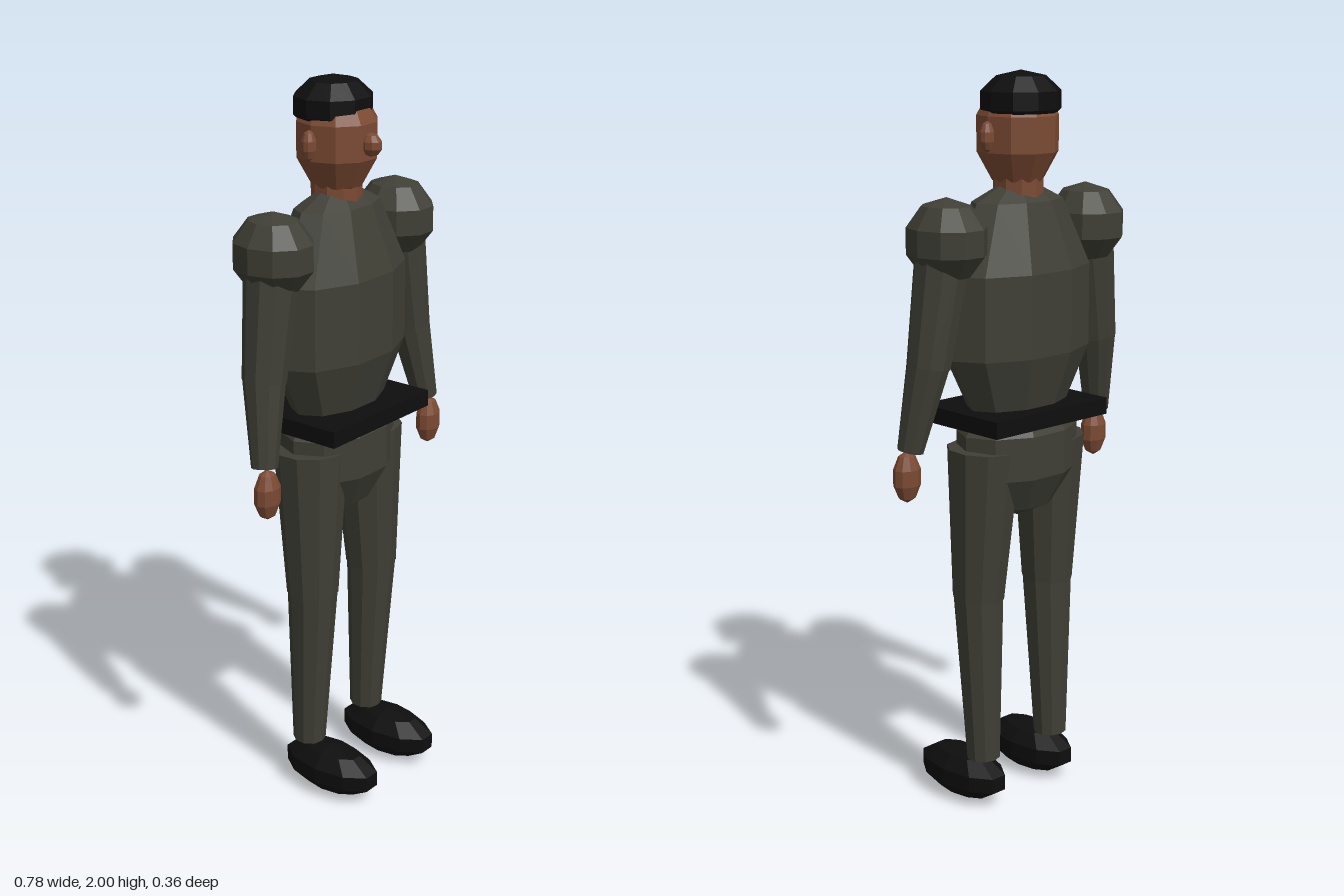
import * as THREE from 'three';

const flat = (name, color) => {
  const m = new THREE.MeshStandardMaterial({ color, flatShading: true });
  m.name = name;
  return m;
};

export function createModel() {
  const cloth = flat('dark olive cloth', 0x3f3f36);
  const skin = flat('brown skin', 0x7b4a33);
  const black = flat('black', 0x0e0e0f);

  const model = new THREE.Group();
  model.name = 'figure';

  const add = (name, geometry, material) => {
    const mesh = new THREE.Mesh(geometry, material);
    mesh.name = name;
    model.add(mesh);
    return mesh;
  };

  // Coarse ellipsoid given by its centre and radii
  const blob = (name, material, centre, radii) => {
    const mesh = add(name, new THREE.SphereGeometry(1, 10, 5), material);
    mesh.position.set(...centre);
    mesh.scale.set(...radii);
    return mesh;
  };

  // Tapered limb section running from point a (radius ra) to point b (radius rb)
  const limb = (name, material, a, ra, b, rb) => {
    const top = new THREE.Vector3(...a), bottom = new THREE.Vector3(...b);
    const axis = top.clone().sub(bottom);
    const mesh = add(name, new THREE.CylinderGeometry(ra, rb, axis.length(), 10), material);
    mesh.position.copy(top).add(bottom).multiplyScalar(0.5);
    mesh.quaternion.setFromUnitVectors(new THREE.Vector3(0, 1, 0), axis.normalize());
    return mesh;
  };

  // Trunk
  blob('torso', cloth, [0, 1.38, -0.045], [0.247, 0.356, 0.143]);
  blob('pelvis', cloth, [0, 1.0, -0.045], [0.197, 0.19, 0.136]);
  const belt = add('belt', new THREE.BoxGeometry(0.41, 0.045, 0.29), black);
  belt.position.set(0, 1.104, -0.037);

  // Head
  limb('neck', skin, [0, 1.75, -0.047], 0.067, [0, 1.63, -0.047], 0.067);
  blob('head', skin, [0, 1.84, -0.045], [0.112, 0.15, 0.115]);
  blob('hair', black, [0, 1.925, -0.057], [0.113, 0.075, 0.108]);
  blob('nose', skin, [0, 1.835, 0.065], [0.026, 0.031, 0.033]);

  // Paired parts, left at +x
  for (const [side, s] of [['left', 1], ['right', -1]]) {
    blob(side + 'Ear', skin, [s * 0.11, 1.836, -0.047], [0.023, 0.04, 0.02]);

    blob(side + 'Shoulder', cloth, [s * 0.252, 1.585, -0.048], [0.103, 0.11, 0.118]);
    limb(side + 'UpperArm', cloth, [s * 0.262, 1.56, -0.045], 0.073, [s * 0.308, 1.265, -0.037], 0.058);
    limb(side + 'Forearm', cloth, [s * 0.308, 1.275, -0.037], 0.057, [s * 0.347, 1.045, -0.007], 0.035);
    blob(side + 'Hand', skin, [s * 0.35, 0.974, 0.004], [0.041, 0.07, 0.033]);

    limb(side + 'Thigh', cloth, [s * 0.12, 1.02, -0.042], 0.1, [s * 0.131, 0.6, -0.03], 0.071);
    limb(side + 'Shin', cloth, [s * 0.131, 0.605, -0.03], 0.069, [s * 0.13, 0.135, -0.047], 0.046);
    blob(side + 'Shoe', black, [s * 0.131, 0.07, 0.035], [0.079, 0.07, 0.16]);
  }

  return model;
}
